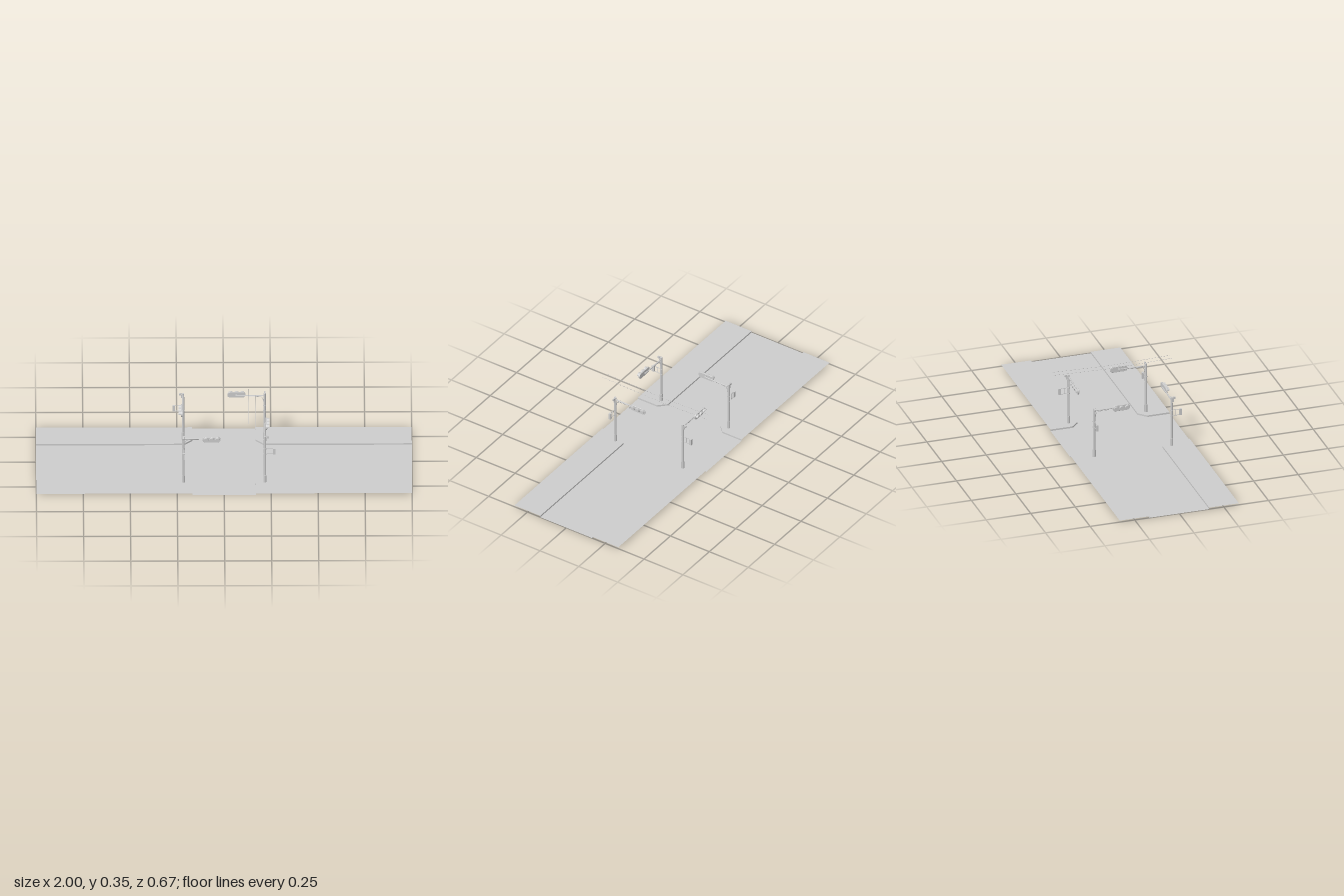
import * as THREE from 'three';

const grey = new THREE.MeshStandardMaterial({ color: 0xcccccc });
const thin = new THREE.MeshStandardMaterial({ color: 0xcccccc, side: THREE.DoubleSide });

const W = 1, D = 0.334, CURB = 0.168, CUT = 0.21, STEP = 0.009, POLE = 0.217;

function add(parent, name, geometry, x = 0, y = 0, z = 0, material = grey) {
  const mesh = new THREE.Mesh(geometry, material);
  mesh.name = name;
  mesh.position.set(x, y, z);
  parent.add(mesh);
  return mesh;
}

const box = (w, h, d) => new THREE.BoxGeometry(w, h, d);

// Flat sheet from ground-plan points [x, z]
function sheet(points) {
  const shape = new THREE.Shape(points.map(([x, z]) => new THREE.Vector2(x, -z)));
  return new THREE.ShapeGeometry(shape).rotateX(-Math.PI / 2);
}

// Vertical strip standing on a ground-plan path
function strip(path, height) {
  const pos = [];
  for (let i = 0; i < path.length - 1; i++) {
    const [ax, az] = path[i], [bx, bz] = path[i + 1];
    pos.push(ax, 0, az, bx, 0, bz, bx, height, bz, ax, 0, az, bx, height, bz, ax, height, az);
  }
  const g = new THREE.BufferGeometry();
  g.setAttribute('position', new THREE.Float32BufferAttribute(pos, 3));
  g.computeVertexNormals();
  return g;
}

// Pill outline, lying along x
function pill(length, height) {
  const r = height / 2, s = length / 2 - r;
  const shape = new THREE.Shape();
  shape.absarc(s, 0, r, -Math.PI / 2, Math.PI / 2, false);
  shape.absarc(-s, 0, r, Math.PI / 2, Math.PI * 1.5, false);
  shape.closePath();
  return shape;
}

function createGround() {
  const ground = new THREE.Group();
  ground.name = 'ground';
  const road = [];
  for (const [sx, sz] of [[1, 1], [-1, 1], [-1, -1], [1, -1]]) {
    const edge = [[W, CURB], [CUT, CURB], [CURB, CUT], [CURB, D]].map(([x, z]) => [x * sx, z * sz]);
    add(ground, 'sidewalk', sheet([...edge, [W * sx, D * sz]]), 0, STEP, 0, thin);
    // curb faces the road on every corner
    const path = sx * sz > 0 ? [...edge].reverse() : edge;
    add(ground, 'curb', strip(path, STEP), 0, 0, 0, thin);
    road.push(...(sx * sz > 0 ? edge : [...edge].reverse()));
  }
  add(ground, 'road', sheet(road), 0, 0, 0, thin);
  return ground;
}

// Three-lamp signal head, lamps facing +z
function createSignalHead() {
  const head = new THREE.Group();
  head.name = 'signalHead';
  const body = new THREE.ExtrudeGeometry(pill(0.095, 0.031), {
    depth: 0.006, bevelThickness: 0.001, bevelSize: 0.001, bevelSegments: 1, curveSegments: 10,
  });
  add(head, 'signalHousing', body);
  for (const x of [-0.031, 0, 0.031]) {
    add(head, 'lens', new THREE.CylinderGeometry(0.011, 0.011, 0.002, 20).rotateX(Math.PI / 2), x, 0, 0.007);
    // upper half-round hood
    const hood = new THREE.CylinderGeometry(0.0135, 0.0135, 0.012, 16, 1, true, Math.PI / 2, Math.PI).rotateX(Math.PI / 2);
    add(head, 'visor', hood, x, 0, 0.013, thin);
  }
  return head;
}

// Signal post: arm along +x, pedestrian signal along +z
function createPost() {
  const post = new THREE.Group();
  post.name = 'signalPost';
  add(post, 'postBase', new THREE.CylinderGeometry(0.0085, 0.0085, 0.042, 16), 0, 0.03, 0);
  add(post, 'post', new THREE.CylinderGeometry(0.0063, 0.0068, 0.243, 16), 0, 0.1725, 0);

  // arm and curved brace
  add(post, 'arm', new THREE.CylinderGeometry(0.003, 0.0036, 0.154, 10).rotateZ(-Math.PI / 2), 0.077, 0.28, 0);
  const curve = new THREE.CatmullRomCurve3([
    [0.007, 0.242], [0.009, 0.258], [0.016, 0.27], [0.03, 0.273], [0.083, 0.2745],
  ].map(([x, y]) => new THREE.Vector3(x, y, 0)));
  add(post, 'brace', new THREE.TubeGeometry(curve, 20, 0.0016, 6), 0, 0, 0);
  const head = createSignalHead();
  head.position.set(0.15, 0.28, 0.005);
  post.add(head);
  add(post, 'headBracket', box(0.008, 0.008, 0.006), 0.15, 0.28, 0.003);

  // small detector near the top
  add(post, 'detectorMount', box(0.005, 0.02, 0.006), 0, 0.276, 0.009);
  const detector = add(post, 'detector', box(0.008, 0.011, 0.013), 0, 0.289, 0.015);
  detector.rotation.x = 0.2;

  // pedestrian signal on two rails
  add(post, 'pedestrianSignal', box(0.012, 0.035, 0.014), 0, 0.2005, 0.05);
  for (const y of [0.184, 0.217]) {
    add(post, 'pedestrianRail', box(0.0025, 0.0025, 0.044), 0, y, 0.022);
    add(post, 'clamp', new THREE.CylinderGeometry(0.0078, 0.0078, 0.005, 16), 0, y, 0);
  }
  add(post, 'pedestrianBar', box(0.0018, 0.033, 0.0018), 0, 0.2005, 0.024);
  return post;
}

export function createModel() {
  const model = new THREE.Group();
  model.name = 'intersection';
  model.add(createGround());

  // four posts, turned a quarter each
  for (let i = 0; i < 4; i++) {
    const corner = new THREE.Group();
    corner.name = 'cornerPost';
    const post = createPost();
    post.position.set(-POLE, 0, POLE);
    corner.add(post);
    corner.rotation.y = i * Math.PI / 2;
    model.add(corner);
  }

  // overhead wires sagging at the middle
  for (const x of [0.129, 0.166]) {
    for (const s of [-1, 1]) {
      const line = new THREE.LineCurve3(new THREE.Vector3(x, 0.338, 0), new THREE.Vector3(x, 0.347, s * D));
      add(model, 'overheadWire', new THREE.TubeGeometry(line, 1, 0.0008, 5));
    }
  }
  return model;
}
